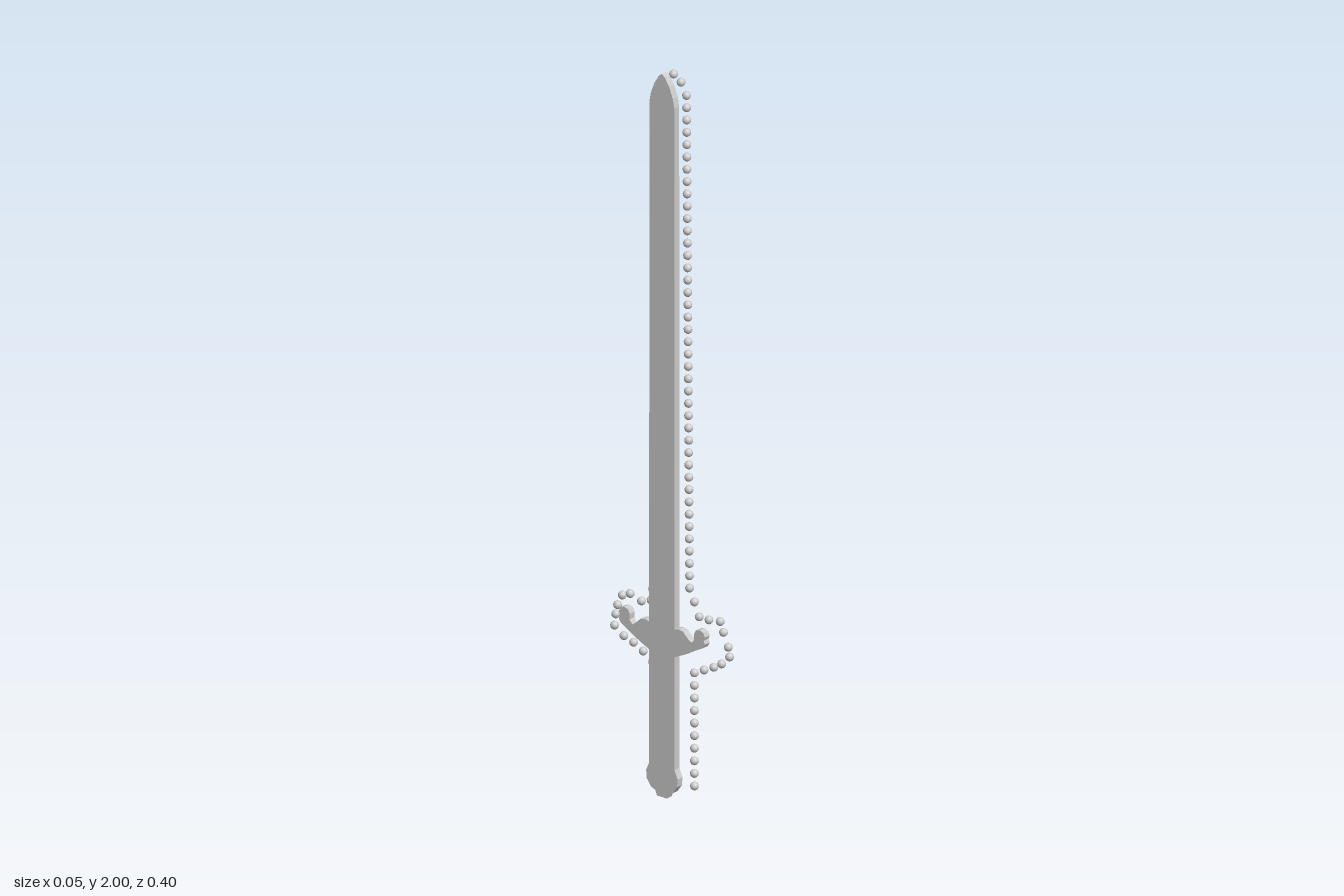
import * as THREE from 'three';

const material = new THREE.MeshStandardMaterial({ color: 0xcccccc });
const THICK = 0.02;

// Flat plate drawn in (z, y) and extruded along x
function plate(name, shape) {
  const geo = new THREE.ExtrudeGeometry(shape, { depth: THICK, bevelEnabled: false, curveSegments: 8 });
  geo.rotateY(-Math.PI / 2).translate(-0.007, 0, 0);
  const mesh = new THREE.Mesh(geo, material);
  mesh.name = name;
  return mesh;
}

// Closed shape mirrored about z = 0 from its +z half, listed bottom to top
function mirrored(half) {
  const other = half.filter(p => p[0] > 0).reverse().map(([z, y]) => [-z, y]);
  return new THREE.Shape([...half, ...other].map(p => new THREE.Vector2(...p)));
}

// Points evenly spaced between two ends, both included
function row(z0, y0, z1, y1, count) {
  return Array.from({ length: count }, (_, i) => {
    const t = i / (count - 1);
    return [z0 + (z1 - z0) * t, y0 + (y1 - y0) * t];
  });
}

export function createModel() {
  const group = new THREE.Group();

  // Blade with a pointed, slightly curved tip
  group.add(plate('blade', mirrored([
    [0.042, 0.475], [0.041, 1.915], [0.036, 1.94], [0.024, 1.97], [0.01, 1.992], [0, 2],
  ])));

  // Guard: two arms ending in round upturned knobs
  group.add(plate('guard', mirrored([
    [0.042, 0.398], [0.075, 0.413], [0.112, 0.434], [0.136, 0.447], [0.142, 0.458],
    [0.138, 0.468], [0.142, 0.478], [0.137, 0.489], [0.125, 0.494], [0.112, 0.49],
    [0.106, 0.479], [0.107, 0.463], [0.098, 0.452], [0.086, 0.46],
    [0.07, 0.475], [0.056, 0.478], [0.042, 0.475],
  ])));

  // Grip
  group.add(plate('grip', mirrored([[0.042, 0.085], [0.042, 0.398]])));

  // Rounded pommel
  group.add(plate('pommel', mirrored([
    [0.016, 0], [0.022, 0.014], [0.036, 0.02], [0.05, 0.04], [0.052, 0.062], [0.042, 0.085],
  ])));

  // Beads beside the blade, following its outline
  const beads = [
    ...row(0.074, 0.037, 0.074, 0.35, 10),
    [0.106, 0.366], [0.138, 0.382], [0.164, 0.398], [0.19, 0.424], [0.186, 0.45],
    [0.17, 0.487], [0.159, 0.514], [0.122, 0.509], [0.09, 0.509], [0.074, 0.546],
    ...row(0.058, 0.58, 0.048, 1.94, 41),
    [0.03, 1.972], [0.005, 1.988], [-0.021, 1.972],
    ...row(-0.038, 1.95, -0.048, 0.58, 41),
    [-0.064, 0.546], [-0.069, 0.514], [-0.101, 0.503], [-0.138, 0.514], [-0.164, 0.503],
    [-0.18, 0.472], [-0.186, 0.445], [-0.19, 0.413], [-0.159, 0.392], [-0.127, 0.382],
    [-0.095, 0.366], [-0.064, 0.344],
    ...row(-0.053, 0.323, -0.053, 0.09, 8),
  ];
  const beadGeo = new THREE.SphereGeometry(0.0115, 12, 8);
  const chain = new THREE.Group();
  chain.name = 'beadOutline';
  for (const [z, y] of beads) {
    const bead = new THREE.Mesh(beadGeo, material);
    bead.name = 'bead';
    bead.position.set(0.014, y, z);
    chain.add(bead);
  }
  group.add(chain);
  return group;
}
